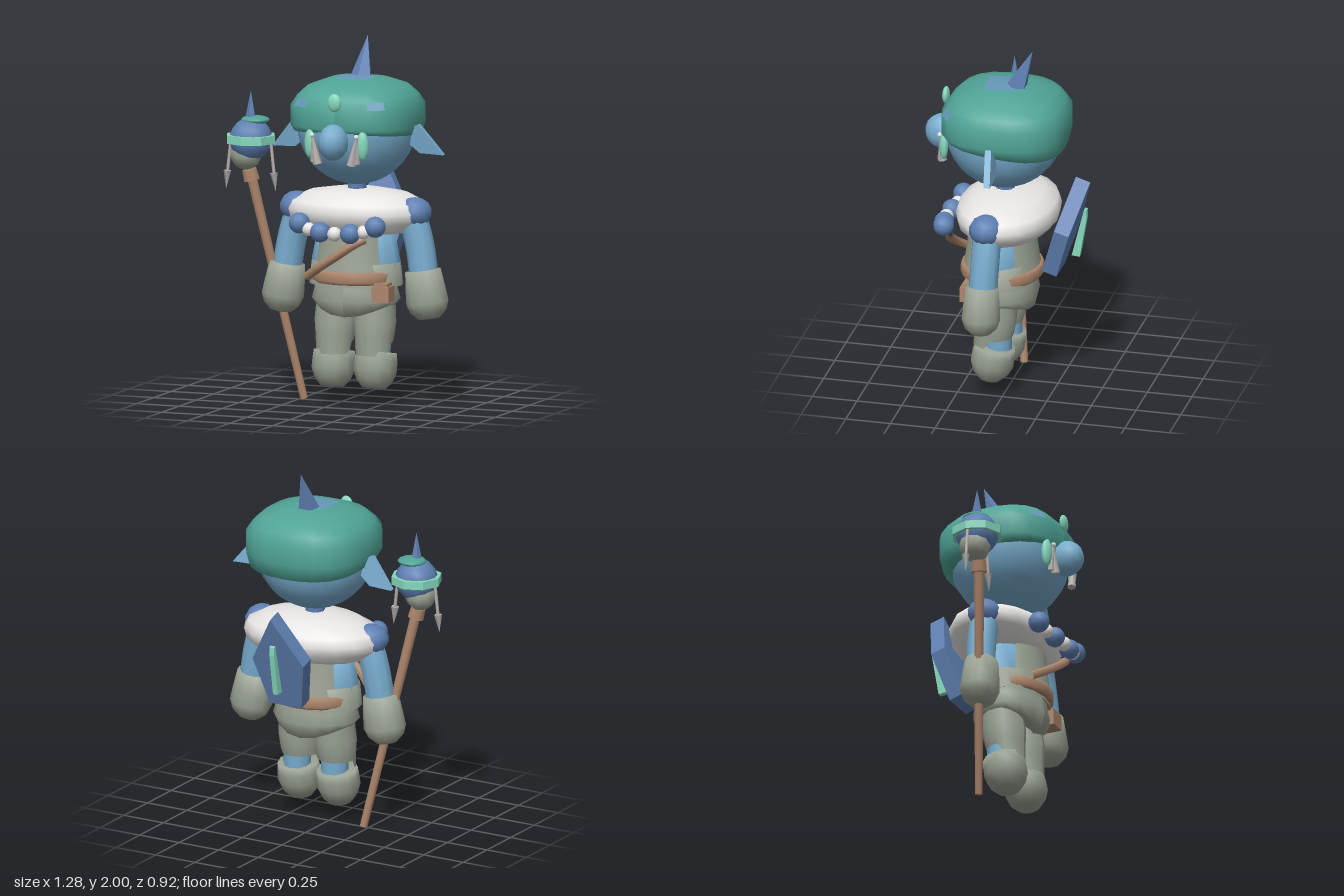
import * as THREE from 'three';

const mat = (name, color, side = THREE.FrontSide) =>
  Object.assign(new THREE.MeshStandardMaterial({ color, side }), { name });

export function createModel() {
  const M = {
    skin: mat('skin blue', 0x78acce),
    deep: mat('deep blue', 0x5f80b3),
    teal: mat('cap teal', 0x50a496),
    mint: mat('mint gem', 0x86d9be),
    fur: mat('fur white', 0xe8e7e5),
    sage: mat('sage cloth', 0x9aa293, THREE.DoubleSide),
    brown: mat('leather brown', 0xad866c),
    grey: mat('bone grey', 0xb8b2ae),
    patch: mat('cap patch blue', 0x6699b8, THREE.DoubleSide),
  };
  const root = new THREE.Group();
  root.name = 'figure';
  const body = new THREE.Group(); // the body is symmetric about its own x = 0
  body.name = 'body';
  body.position.x = 0.1;
  root.add(body);

  const add = (name, geo, m, x = 0, y = 0, z = 0) => {
    const mesh = new THREE.Mesh(geo, m);
    mesh.name = name;
    mesh.position.set(x, y, z);
    body.add(mesh);
    return mesh;
  };
  const ball = (name, m, r, x, y, z, sx = 1, sy = 1, sz = 1, seg = 12) => {
    const b = add(name, new THREE.SphereGeometry(r, seg, Math.ceil(seg * 0.7)), m, x, y, z);
    b.scale.set(sx, sy, sz);
    return b;
  };
  const lathe = (pts, seg = 16, start = 0, len = Math.PI * 2) =>
    new THREE.LatheGeometry(pts.map(p => new THREE.Vector2(...p)), seg, start, len);
  const shape = pts => new THREE.Shape(pts.map(p => new THREE.Vector2(...p)));
  const slab = (pts, depth) => new THREE.ExtrudeGeometry(shape(pts), { depth, bevelEnabled: false })
    .translate(0, 0, -depth / 2);
  // moves every vertex of a geometry by a rule
  const warp = (geo, rule) => {
    const p = geo.attributes.position, v = new THREE.Vector3();
    for (let i = 0; i < p.count; i++) {
      rule(v.fromBufferAttribute(p, i));
      p.setXYZ(i, v.x, v.y, v.z);
    }
    geo.computeVertexNormals();
    return geo;
  };
  const flat = geo => {
    const g = geo.index ? geo.toNonIndexed() : geo;
    g.computeVertexNormals();
    return g;
  };
  // rod between two points
  const rod = (name, m, a, b, ra, rb, seg = 8) => {
    const A = new THREE.Vector3(...a), B = new THREE.Vector3(...b), d = B.clone().sub(A);
    const mesh = add(name, new THREE.CylinderGeometry(rb, ra, d.length(), seg), m,
      ...A.clone().add(B).multiplyScalar(0.5).toArray());
    mesh.quaternion.setFromUnitVectors(new THREE.Vector3(0, 1, 0), d.normalize());
  };
  const tube = (name, m, pts, r, seg = 10) => add(name, new THREE.TubeGeometry(
    new THREE.CatmullRomCurve3(pts.map(p => new THREE.Vector3(...p))), 10, r, seg), m);

  // head (open under the cap), nose and neck
  add('head', new THREE.SphereGeometry(0.325, 20, 10, 0, Math.PI * 2, Math.PI * 0.42, Math.PI * 0.58),
    M.skin, 0, 1.53, 0.025);
  ball('nose', M.skin, 0.1, 0, 1.475, 0.368, 0.82, 1, 1, 12);
  add('neck', new THREE.CylinderGeometry(0.055, 0.055, 0.12, 8), M.deep, 0, 1.18, 0.02);

  // cap: a lathe squared off in plan, with a rim that dips at the back
  const squareOff = v => {
    const a = Math.atan2(v.x, v.z), n = 2.75;
    const f = (Math.abs(Math.cos(a)) ** n + Math.abs(Math.sin(a)) ** n) ** (-1 / n);
    if (v.y < 1.5) v.y += 0.035 * Math.cos(a);
    v.x *= f;
    v.z *= f;
  };
  add('cap', warp(lathe([[0.27, 1.475], [0.325, 1.485], [0.345, 1.54], [0.345, 1.645], [0.31, 1.7],
    [0.265, 1.743], [0.16, 1.782], [0, 1.795]], 24), squareOff), M.teal, 0, 0, 0.01);
  add('capTopPatch', warp(new THREE.PlaneGeometry(0.19, 0.17, 6, 6).rotateX(-Math.PI / 2), v => {
    v.z += 0.03;
    v.y = 1.799 - Math.hypot(v.x, v.z) * 0.075;
  }), M.patch, 0, 0, 0.01);
  for (const start of [-Math.PI / 4, Math.PI / 6])
    add('capFrontPatch', warp(lathe([[0.344, 1.653], [0.318, 1.694]], 1, start, Math.PI / 12), squareOff),
      M.patch, 0, 0, 0.011);

  // horn leaning back
  add('horn', flat(warp(new THREE.ConeGeometry(0.069, 0.24, 5), v => {
    v.z -= (v.y + 0.12) / 0.24 * 0.1;
  })), M.deep, 0, 1.88, -0.033);
  ball('browGem', M.mint, 0.05, 0, 1.69, 0.352, 0.8, 1, 0.4);

  // collar and bead necklace
  add('furCollar', lathe([[0, 0.93], [0.12, 0.933], [0.215, 0.955], [0.27, 1.01], [0.28, 1.065],
    [0.262, 1.11], [0.195, 1.158], [0.09, 1.182], [0, 1.184]], 18), M.fur).scale.x = 1.46;
  ball('bead', M.fur, 0.04, 0, 0.97, 0.35);

  // torso under a vest of two panels
  add('torso', lathe([[0.205, 0.68], [0.205, 0.8], [0.175, 0.97], [0, 0.98]], 14), M.skin, 0, 0, 0.035)
    .scale.set(1.22, 1, 0.8);
  for (const start of [-0.95, Math.PI - 0.95])
    add('vestPanel', lathe([[0.225, 0.7], [0.212, 0.78], [0.198, 0.88], [0.19, 0.97]], 8, start, 1.9),
      M.sage, 0, 0, 0.035).scale.set(1.08, 1, 0.95);
  add('vestWaist', lathe([[0.24, 0.66], [0.228, 0.785], [0.16, 0.79]], 16), M.sage, 0, 0, 0.035)
    .scale.set(1.1, 1, 0.84);

  // belt, skirt, chest strap and pouch
  add('belt', lathe([[0.19, 0.675], [0.235, 0.675], [0.247, 0.69], [0.247, 0.73], [0.235, 0.745], [0.19, 0.745]], 20),
    M.brown, 0, 0, 0.035).scale.z = 0.92;
  add('skirt', warp(lathe([[0.14, 0.495], [0.222, 0.495], [0.248, 0.58], [0.232, 0.64], [0.225, 0.7]], 16), v => {
    if (v.y < 0.55) v.y += 0.055 * Math.min(1, (v.x / 0.2) ** 2);
  }), M.sage, 0, 0, 0.035).scale.z = 0.81;
  tube('chestStrap', M.brown, [[0.15, 0.94, 0.28], [0.11, 0.92, 0.308], [0, 0.845, 0.325],
    [-0.11, 0.775, 0.305], [-0.2, 0.715, 0.25]], 0.025, 6);
  add('pouch', new THREE.BoxGeometry(0.1, 0.085, 0.09), M.brown, 0.21, 0.63, 0.165);
  add('pouchFlap', new THREE.BoxGeometry(0.075, 0.03, 0.07), M.brown, 0.21, 0.675, 0.165);

  // paired parts
  const mitt = [[0, 0], [0.065, 0.004], [0.1, 0.045], [0.12, 0.1], [0.118, 0.155], [0.113, 0.2], [0, 0.205]];
  const glove = [[0, 0], [0.06, 0.004], [0.1, 0.04], [0.119, 0.09], [0.113, 0.16], [0.1, 0.27], [0, 0.27]];
  const ear = [[0.28, 1.46], [0.3, 1.53], [0.365, 1.55], [0.5, 1.385], [0.365, 1.39]];
  for (const s of [1, -1]) {
    add('earFin', flat(warp(slab(ear.map(([x, y]) => [x * s, y]), 0.035), v => {
      v.z += (v.y - 1.385) * 0.15;
    })), M.skin);

    ball('cheekGem', M.mint, 0.08, s * 0.155, 1.458, 0.325, 0.42, 1, 0.3).rotation.y = s * 0.4;
    rod('tusk', M.grey, [s * 0.098, 1.35, 0.35], [s * 0.128, 1.5, 0.348], 0.026, 0.006, 6);
    rod('tusk', M.grey, [s * 0.125, 1.36, 0.335], [s * 0.13, 1.5, 0.348], 0.02, 0.005, 6);
    ball('tuskBead', M.fur, 0.014, s * 0.13, 1.508, 0.354, 1, 1, 1, 8);

    ball('bead', M.deep, 0.058, s * 0.222, 1.015, 0.31);
    ball('bead', M.deep, 0.056, s * 0.088, 0.975, 0.34);
    ball('bead', M.fur, 0.038, s * 0.16, 0.985, 0.325);

    ball('shoulder', M.deep, 0.097, s * 0.345, 1.068, 0.04, 1, 0.85, 1, 10);
    tube('arm', M.skin, [[s * 0.31, 1.08, 0.04], [s * 0.35, 0.98, 0.038], [s * 0.38, 0.86, 0.04], [s * 0.4, 0.73, 0.045]], 0.08);
    const hand = add('glove', lathe(glove, 12), M.sage, s * 0.437, 0.488, 0.05);
    hand.rotation.z = s * 0.15;
    hand.scale.z = 0.9;

    // trouser leg with a hem that steps up at the back
    add('trouserLeg', warp(lathe([[0.1, 0.28], [0.107, 0.38], [0.115, 0.46], [0.105, 0.6]], 16), v => {
      if (v.y < 0.3 && v.z < 0.01) v.y += 0.065;
      v.z += (0.42 - v.y) * 0.08;
    }), M.sage, s * 0.115, 0, 0.05).scale.z = 1.05;
    add('calf', new THREE.CylinderGeometry(0.078, 0.075, 0.22, 10), M.skin, s * 0.118, 0.3, 0.03);
    add('boot', lathe(mitt, 12), M.sage, s * 0.123, 0.092, 0.08).rotation.x = -0.17;
  }

  // five-sided shield on the back with a blade-like crest
  add('backShield', slab([[0, 0.28], [-0.16, 0], [-0.1, -0.28], [0.1, -0.28], [0.16, 0]], 0.085),
    M.deep, 0, 1.002, -0.333).rotation.x = -0.3;
  add('shieldCrest', slab([[0.425, 1.1], [0.438, 1.095], [0.44, 1.05], [0.4, 0.815], [0.355, 0.82]], 0.03)
    .rotateY(Math.PI / 2), M.mint);

  // staff and its head
  const hx = -0.585, hz = 0.115;
  rod('staffPole', M.brown, [-0.322, 0.005, -0.005], [-0.58, 1.24, 0.125], 0.022, 0.029);
  rod('staffKnob', M.brown, [-0.576, 1.205, 0.122], [-0.59, 1.265, 0.127], 0.046, 0.042);
  ball('staffBall', M.deep, 0.118, hx, 1.43, hz, 1, 1, 1, 12);
  ball('staffCup', M.sage, 0.088, hx - 0.027, 1.348, hz, 1, 1, 1, 10);
  add('staffRing', flat(lathe([[0.1, 1.41], [0.14, 1.41], [0.14, 1.455], [0.1, 1.455], [0.1, 1.41]], 8)),
    M.mint, hx, 0, hz);
  ball('staffButton', M.teal, 0.08, hx + 0.02, 1.535, hz - 0.015, 1, 0.3, 0.95);
  add('staffSpike', flat(new THREE.ConeGeometry(0.038, 0.19, 5)), M.deep, hx, 1.602, hz);
  for (const s of [1, -1]) {
    rod('dartCord', M.grey, [hx + s * 0.118, 1.41, hz], [hx + s * 0.138, 1.23, hz], 0.009, 0.009, 6);
    rod('dartTip', M.grey, [hx + s * 0.136, 1.25, hz], [hx + s * 0.145, 1.152, hz], 0.023, 0.001, 5);
  }
  return root;
}
